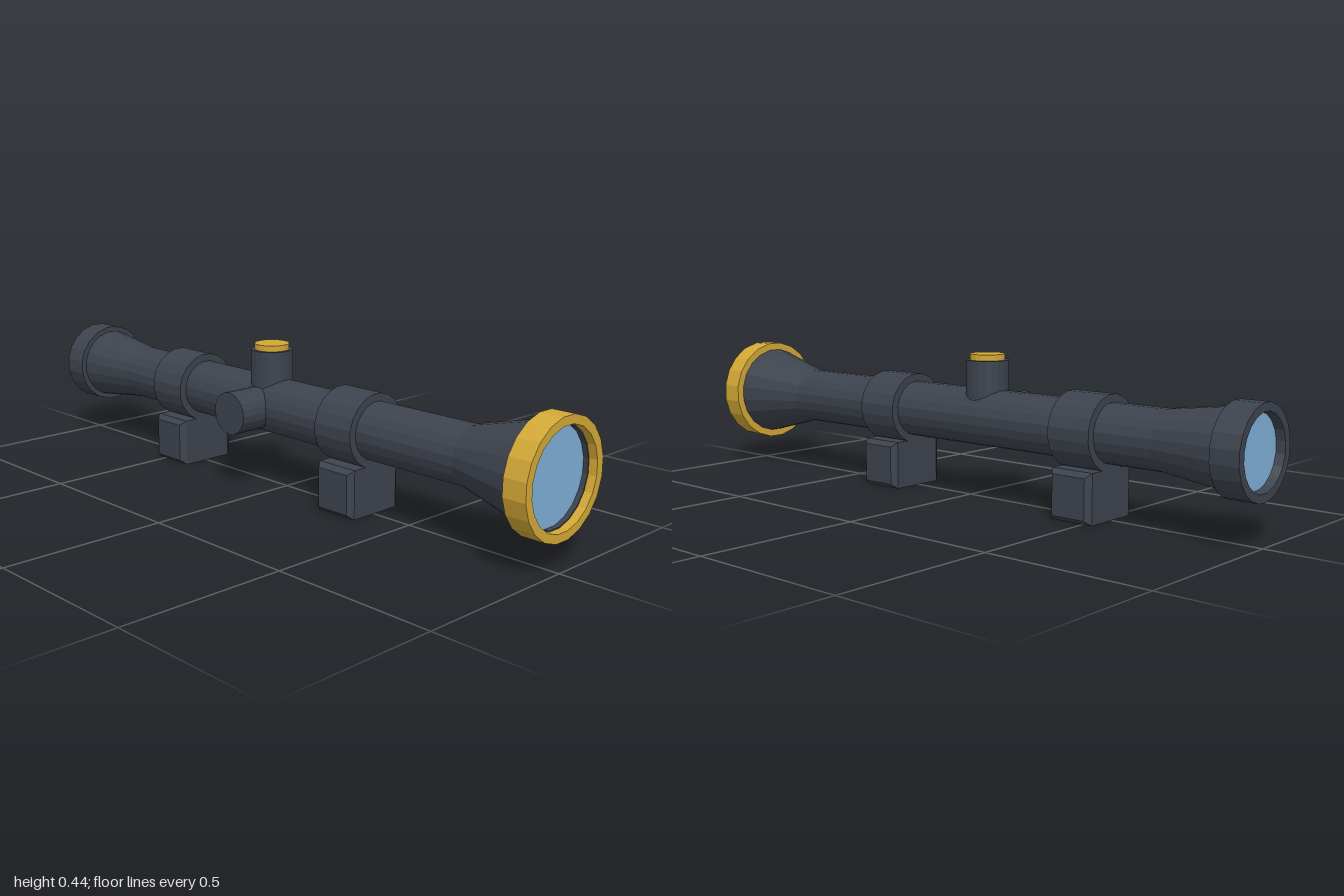
import * as THREE from 'three';

const AXIS_Y = 0.248, AXIS_Z = -0.005, SIDES = 20, TURRET_X = -0.072;

export function createModel() {
  const model = new THREE.Group();
  model.name = 'telescopicSight';

  const material = (name, color) => {
    const m = new THREE.MeshStandardMaterial({ color });
    m.name = name;
    m.flatShading = true;
    return m;
  };
  const dark = material('darkMetal', 0x3d434d);
  const gold = material('goldTrim', 0xd3a836);
  const glass = material('blueGlass', 0x7fafd6);

  const add = (name, geometry, mat, x, y = AXIS_Y, z = AXIS_Z) => {
    const mesh = new THREE.Mesh(geometry, mat);
    mesh.name = name;
    mesh.position.set(x, y, z);
    model.add(mesh);
    return mesh;
  };

  // Turned part along x; the profile lists [x, radius] pairs
  const turned = (name, profile, mat) => {
    const points = profile.map(([x, r]) => new THREE.Vector2(r, x));
    const geometry = new THREE.LatheGeometry(points, SIDES, Math.PI / SIDES);
    geometry.rotateZ(-Math.PI / 2);
    return add(name, geometry, mat, 0);
  };

  // Main tube with the eyepiece taper and the objective bell
  turned('body', [
    [-0.92, 0], [-0.92, 0.114], [-0.71, 0.0865], [0.71, 0.0865],
    [0.94, 0.146], [0.94, 0],
  ], dark);

  // Eyepiece: hollow ring and recessed lens
  turned('eyepieceRing', [
    [-0.96, 0.1], [-1, 0.106], [-1, 0.13], [-0.915, 0.13], [-0.915, 0.1],
  ].map(([x, r]) => [x, r]), dark);
  turned('eyepieceLens', [[-0.975, 0], [-0.975, 0.104], [-0.96, 0.104]], glass);

  // Objective: gold rim, dark inner lip and recessed lens
  turned('objectiveRim', [
    [0.93, 0.12], [0.93, 0.1665], [1, 0.1665], [1, 0.141], [0.945, 0.141],
  ], gold);
  turned('objectiveLip', [
    [0.94, 0.1415], [0.975, 0.1415], [0.975, 0.1375], [0.94, 0.1375],
  ], dark);
  turned('objectiveLens', [[0.945, 0.1378], [0.96, 0.1378], [0.96, 0]], glass);

  // Two clamp rings, each on a block with bevelled ends
  const w = 0.14, h = 0.155, d = 0.21, bx = 0.014, bz = 0.018;
  const face = new THREE.Shape();
  face.moveTo(-w / 2 + bx, bz);
  face.lineTo(w / 2 - bx, bz);
  face.lineTo(w / 2 - bx, h - bz);
  face.lineTo(-w / 2 + bx, h - bz);
  face.closePath();
  const block = new THREE.ExtrudeGeometry(face, {
    depth: d - 2 * bz, bevelEnabled: true, bevelThickness: bz,
    bevelSize: bx, bevelSegments: 1,
  });
  block.translate(0, -bz + bx, -d / 2 + bz);
  for (const [side, x] of [['rear', -0.46], ['front', 0.295]]) {
    turned(side + 'ClampRing', [
      [x - w / 2, 0.08], [x - w / 2, 0.11], [x + w / 2, 0.11], [x + w / 2, 0.08],
    ], dark);
    add(side + 'MountBlock', block, dark, x, 0);
  }

  // Top turret with gold cap
  const knob = (r, length) =>
    new THREE.CylinderGeometry(r, r, length, SIDES);
  add('topTurret', knob(0.065, 0.142), dark, TURRET_X, 0.351);
  add('turretCap', knob(0.053, 0.03), gold, TURRET_X, 0.425);

  // Side adjustment knob
  add('sideKnob', knob(0.065, 0.131), dark, TURRET_X, 0.247, 0.105)
    .rotation.x = Math.PI / 2;

  return model;
}
